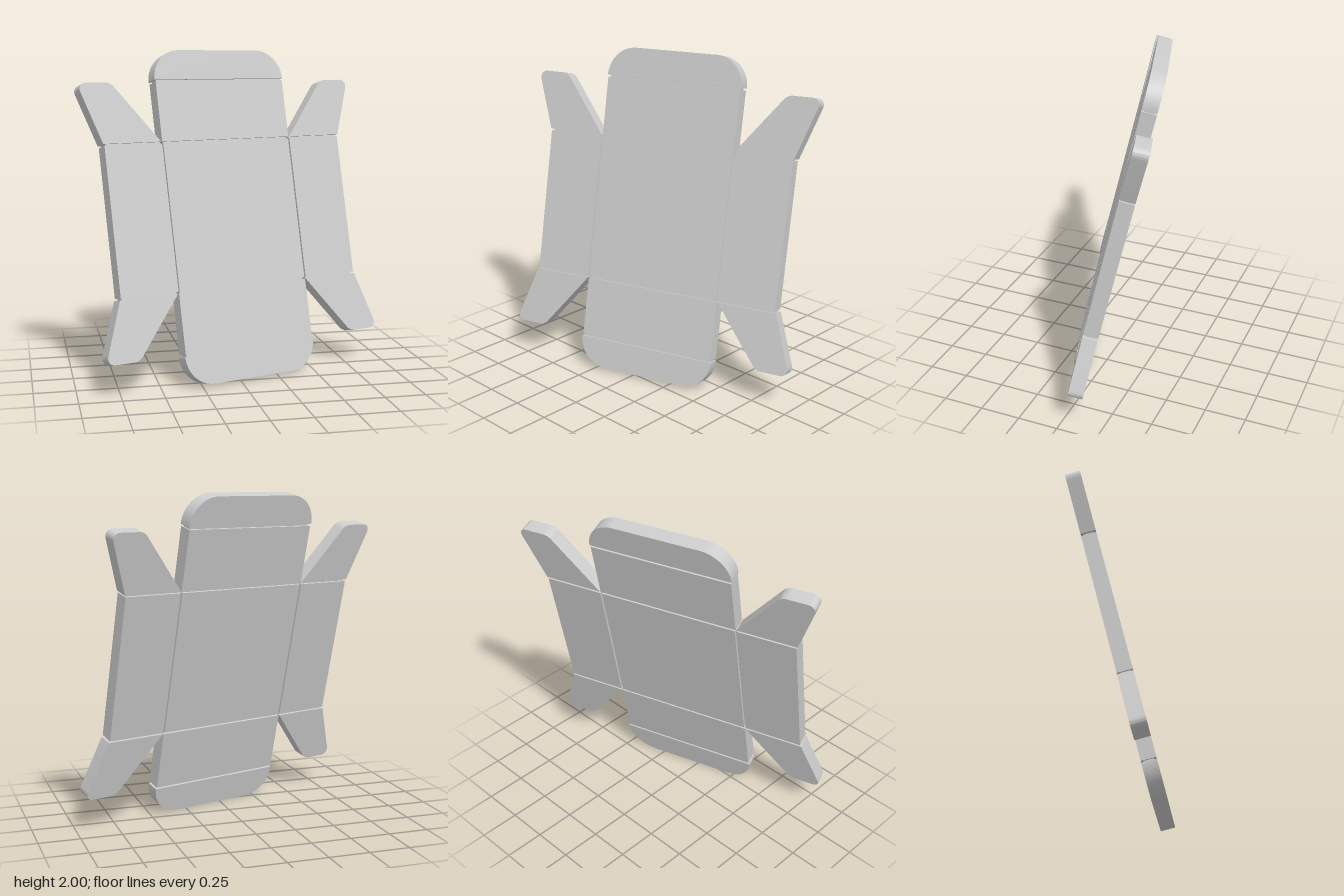
import * as THREE from 'three';
import { toCreasedNormals } from 'three/addons/utils/BufferGeometryUtils.js';

const T = 0.09;        // sheet thickness
const GAP = 0.012;     // width of a crease
const CORE = 0.06;     // thickness left inside a crease
const U = 0.446, V = 0.452;       // half size of the base panel
const SIDE = 0.82;                // outer edge of the side walls
const WALL = 0.83, END = 1.017;   // outer edge of the end walls and of the lids

const material = new THREE.MeshStandardMaterial({ color: 0xcccccc });

// Closed outline from [x, y, cornerRadius] points
function outline(points) {
  const shape = new THREE.Shape();
  const n = points.length;
  const toward = (p, q, d) => {
    const len = Math.hypot(q[0] - p[0], q[1] - p[1]);
    return [p[0] + (q[0] - p[0]) * d / len, p[1] + (q[1] - p[1]) * d / len];
  };
  points.forEach((p, i) => {
    const r = p[2] || 0;
    const a = r ? toward(p, points[(i + n - 1) % n], r) : p;
    if (i === 0) shape.moveTo(a[0], a[1]); else shape.lineTo(a[0], a[1]);
    if (!r) return;
    const b = toward(p, points[(i + 1) % n], r);
    const c1 = toward(p, a, r * 0.45), c2 = toward(p, b, r * 0.45);
    shape.bezierCurveTo(c1[0], c1[1], c2[0], c2[1], b[0], b[1]);
  });
  shape.closePath();
  return shape;
}

// Flat piece centred on the sheet's middle plane
function piece(name, points, depth = T) {
  const geo = new THREE.ExtrudeGeometry(outline(points), { depth, bevelEnabled: false, curveSegments: 14 });
  geo.translate(0, 0, -depth / 2);
  const mesh = new THREE.Mesh(toCreasedNormals(geo, 0.5), material);
  mesh.name = name;
  return mesh;
}

const rect = (x0, y0, x1, y1) => [[x0, y0], [x1, y0], [x1, y1], [x0, y1]];

// Thin web joining two panels along a crease
function crease(x0, y0, x1, y1) {
  const e = GAP / 2 + 0.002;
  const across = x0 === x1;
  return piece('crease', across
    ? rect(x0 - e, y0, x0 + e, y1)
    : rect(x0, y0 - e, x1, y0 + e), CORE);
}

export function createModel() {
  const model = new THREE.Group();
  model.name = 'unfoldedTray';
  const sheet = new THREE.Group();
  sheet.name = 'sheet';
  model.add(sheet);
  const g = GAP / 2;

  sheet.add(piece('basePanel', rect(-U + g, -V + g, U - g, V - g)));

  for (const s of [1, -1]) {
    const end = s > 0 ? 'top' : 'bottom';
    const side = s > 0 ? 'left' : 'right';

    // End wall and rounded lid
    sheet.add(piece(end + 'Wall', rect(-U, s * (V + g), U, s * (WALL - g))));
    const w = U + 0.005;
    sheet.add(piece(end + 'Lid', [
      [-w, s * (WALL + g)], [w, s * (WALL + g)],
      [w, s * END, 0.18], [-w, s * END, 0.18],
    ]));
    sheet.add(crease(-U + 0.01, s * V, U - 0.01, s * V));
    sheet.add(crease(-U + 0.01, s * WALL, U - 0.01, s * WALL));

    // Side wall
    sheet.add(piece(side + 'Wall', rect(s * (U + g), -V + g, s * SIDE, V - g)));
    sheet.add(crease(s * U, -V + 0.01, s * U, V - 0.01));

    // Tapered corner flaps at both ends of the side wall
    for (const t of [1, -1]) {
      sheet.add(piece(side + (t > 0 ? 'Top' : 'Bottom') + 'Flap', [
        [s * (U + g), t * (V + g)], [s * (SIDE + 0.006), t * (V + g)],
        [s * 0.953, t * 0.822, 0.06], [s * 0.742, t * 0.822, 0.03],
      ]));
      const xs = [s * (U + 0.01), s * (SIDE - 0.01)].sort((a, b) => a - b);
      sheet.add(crease(xs[0], t * V, xs[1], t * V));
    }
  }

  // The sheet leans back and is turned to one side
  sheet.rotation.set(-0.234, 0.3, 0, 'YXZ');
  sheet.position.set(0, 1, 0);
  return model;
}
